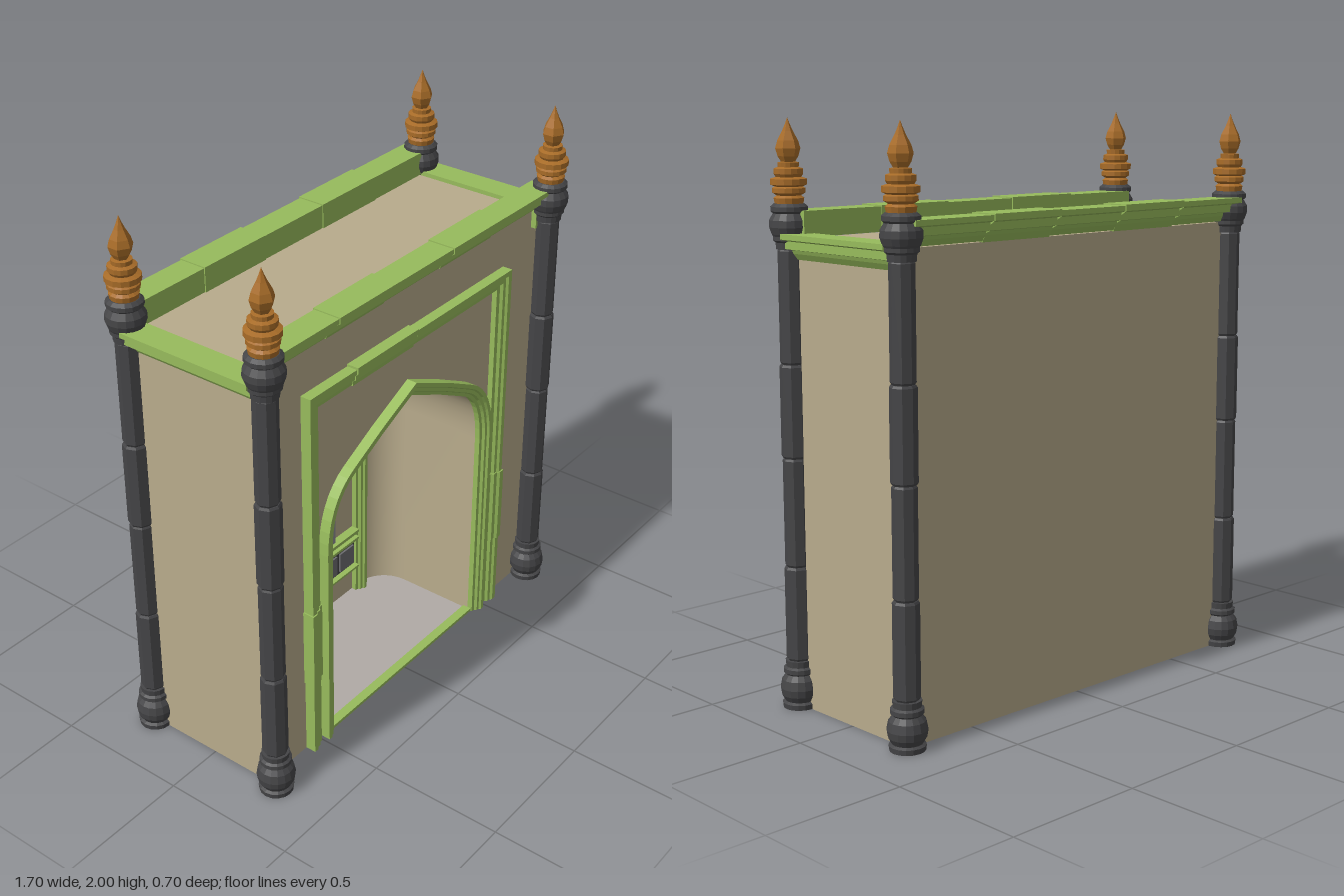
import * as THREE from 'three';

const mat = (name, color, side = THREE.FrontSide) => {
  const m = new THREE.MeshStandardMaterial({ color, side });
  m.name = name;
  return m;
};
const stone = mat('sandstone', 0xb8ab8c, THREE.DoubleSide);
const green = mat('green glazed trim', 0x97bb5c);
const charcoal = mat('charcoal', 0x454547);
const bronze = mat('bronze', 0xa86c28);
const tileGrey = mat('tile grey', 0x6c6c6f);
const frameGrey = mat('window grey', 0x8c8c92);
const floorGrey = mat('floor grey', 0xb0aaa6, THREE.DoubleSide);

const X = 0.78, TOP = 1.61, FRONT = 0.24, BACK = -0.28, NICHE = -0.2;

function add(parent, name, geo, material, x = 0, y = 0, z = 0) {
  const m = new THREE.Mesh(geo, material);
  m.name = name;
  m.position.set(x, y, z);
  parent.add(m);
  return m;
}
const box = (p, name, m, x0, x1, y0, y1, z0, z1) =>
  add(p, name, new THREE.BoxGeometry(x1 - x0, y1 - y0, z1 - z0), m, (x0 + x1) / 2, (y0 + y1) / 2, (z0 + z1) / 2);

function facet(geo) {
  const g = geo.index ? geo.toNonIndexed() : geo;
  g.computeVertexNormals();
  return g;
}
const V = (x, y) => new THREE.Vector2(x, y);

// Sweeps a moulding profile [outward, height] along a flat path with mitred corners
function sweep(path, profile) {
  const normal = (a, b) => V(b.y - a.y, a.x - b.x).normalize();
  const n = profile.length, pos = [], idx = [];
  path.forEach((p, i) => {
    const a = normal(path[Math.max(i - 1, 0)], path[Math.max(i, 1)]);
    const last = path.length - 1;
    const b = normal(path[Math.min(i, last - 1)], path[Math.min(i + 1, last)]);
    const m = a.clone().add(b).normalize();
    m.divideScalar(m.dot(a));
    for (const [o, h] of profile) pos.push(p.x + m.x * o, p.y + m.y * o, h);
  });
  for (let i = 0; i < path.length - 1; i++)
    for (let j = 0; j < n; j++) {
      const k = (j + 1) % n, r = i * n, s = r + n;
      idx.push(r + j, r + k, s + j, r + k, s + k, s + j);
    }
  const e = (path.length - 1) * n;
  for (let j = 1; j < n - 1; j++) idx.push(0, j + 1, j, e, e + j, e + j + 1);
  const g = new THREE.BufferGeometry();
  g.setAttribute('position', new THREE.Float32BufferAttribute(pos, 3));
  g.setIndex(idx);
  return facet(g);
}

// Pointed arch outline from the +x foot over the apex to the -x foot
function archPath() {
  const curve = new THREE.CubicBezierCurve(V(0.435, 0.8), V(0.435, 0.92), V(0.395, 1.0), V(0.323, 1.037));
  const half = [V(0.435, 0), ...curve.getPoints(8), V(0.17, 1.117)];
  return [...half, V(0, 1.196), ...half.slice().reverse().map(p => V(-p.x, p.y))];
}

// Depth and inset steps of the niche, with a rounded rear corner
const R = 0.13;
const steps = [[FRONT, 0]];
for (let i = 0; i <= 8; i++) {
  const a = (i / 8) * Math.PI / 2;
  steps.push([NICHE + R - R * Math.sin(a), R * (1 - Math.cos(a))]);
}
const inset = (p, d) => V(p.x * (1 - d / 0.435), p.y * (1 - d / 1.196));

function buildBody(g) {
  const arch = archPath();
  const front = new THREE.Shape([V(X, 0), V(X, TOP), V(-X, TOP), V(-X, 0), ...arch.slice().reverse()]);
  add(g, 'frontWall', new THREE.ShapeGeometry(front), stone, 0, 0, FRONT);
  add(g, 'backWall', new THREE.PlaneGeometry(2 * X, TOP), stone, 0, TOP / 2, BACK).rotation.y = Math.PI;
  const depth = FRONT - BACK, mid = (FRONT + BACK) / 2;
  for (const s of [1, -1])
    add(g, 'sideWall', new THREE.PlaneGeometry(depth, TOP), stone, s * X, TOP / 2, mid).rotation.y = s * Math.PI / 2;
  add(g, 'roof', new THREE.PlaneGeometry(2 * X, depth), stone, 0, TOP, mid).rotation.x = -Math.PI / 2;

  // Hollow niche lining
  const pos = [], idx = [], n = arch.length;
  for (const [z, d] of steps) for (const p of arch) { const q = inset(p, d); pos.push(q.x, q.y, z); }
  for (let i = 0; i < steps.length - 1; i++)
    for (let j = 0; j < n - 1; j++) {
      const a = i * n + j, b = a + n;
      idx.push(a, a + 1, b, a + 1, b + 1, b);
    }
  const lining = new THREE.BufferGeometry();
  lining.setAttribute('position', new THREE.Float32BufferAttribute(pos, 3));
  lining.setIndex(idx);
  lining.computeVertexNormals();
  add(g, 'nicheLining', lining, stone);
  add(g, 'nicheBack', new THREE.ShapeGeometry(new THREE.Shape(arch.map(p => inset(p, R)))), stone, 0, 0, NICHE);
  const side = steps.map(([z, d]) => V(0.435 - d, -z));
  const plan = new THREE.Shape([...side, ...side.slice().reverse().map(p => V(-p.x, p.y))]);
  add(g, 'nicheFloor', new THREE.ShapeGeometry(plan), floorGrey, 0, 0.004, 0).rotation.x = -Math.PI / 2;
}

// Stepped moulding profile of a given width and height
const moulding = (w, h) => [[0, 0], [0, h * 0.5], [w * 0.25, h * 0.55], [w * 0.35, h * 0.8],
  [w * 0.6, h * 0.8], [w * 0.7, h], [w, h], [w, 0]];
const frame = (x, y) => [V(x, 0), V(x, y), V(-x, y), V(-x, 0)];

function buildFrames(g) {
  add(g, 'archMoulding', sweep(archPath(), moulding(0.05, 0.04)), green, 0, 0, FRONT);
  add(g, 'outerFrame', sweep(frame(0.505, 1.39), moulding(0.062, 0.04)), green, 0, 0, FRONT);
  // Slightly proud blocks of the outer frame
  const proud = moulding(0.074, 0.045);
  add(g, 'outerFrameBlock', sweep([V(0.498, 0.3), V(0.498, 0.605)], proud), green, 0, 0, FRONT);
  add(g, 'outerFrameBlock', sweep([V(-0.498, 0.605), V(-0.498, 0.3)], proud), green, 0, 0, FRONT);
  add(g, 'outerFrameBlock', sweep([V(0, 1.386), V(-0.33, 1.386)], proud), green, 0, 0, FRONT);
  box(g, 'threshold', green, -0.435, 0.435, 0, 0.012, FRONT - 0.02, FRONT + 0.015);
}

// Cornice run along local x, facing local +z, with alternating proud blocks
function cornice(g, name, cuts, y, z, angle) {
  const run = new THREE.Group();
  run.name = name;
  cuts.slice(1).forEach((x1, i) => {
    const e = i % 2 ? 0.004 : 0;
    const profile = [[0, -0.032 - e], [-e, 0.012], [0.02, 0.025], [0.032, 0.03], [0.036, 0.05],
      [0.062, 0.05], [0.068, 0.068 + e], [0.086 + e, 0.068 + e], [0.086 + e, -0.032 - e]];
    add(run, name + 'Block', sweep([V(x1, 0), V(cuts[i], 0)], profile), green, 0, y, z);
  });
  run.rotation.y = angle;
  g.add(run);
}

function buildPanel(g) {
  const p = new THREE.Group();
  p.name = 'nichePanel';
  p.position.z = NICHE;
  g.add(p);
  add(p, 'panelFrame', sweep(frame(0.26, 0.873), moulding(0.046, 0.04)), green);
  add(p, 'panelFrameBlock', sweep([V(0.13, 0.87), V(-0.13, 0.87)], moulding(0.054, 0.045)), green);
  for (const [y, h] of [[0.73, 0.037], [0.243, 0.03], [0.273, 0.034], [0.11, 0.027]])
    add(p, 'panelRail', sweep([V(0.262, y), V(-0.262, y)], moulding(h, 0.035)), green);
  // Two rows of square tiles
  for (const [y0, y1] of [[0.767, 0.873], [0.137, 0.243]]) {
    box(p, 'tileBacking', charcoal, -0.26, 0.26, y0, y1, 0, 0.012);
    for (let i = -2; i <= 2; i++) {
      const c = i * 0.103, m = (y0 + y1) / 2;
      box(p, 'tile', tileGrey, c - 0.042, c + 0.042, m - 0.042, m + 0.042, 0.012, 0.02);
    }
  }
  // Pointed window
  const outline = d => {
    const w = 0.12 - d;
    const s = new THREE.Shape().moveTo(-w, 0.32 + d).lineTo(w, 0.32 + d).lineTo(w, 0.625 - d * 0.2);
    s.quadraticCurveTo(w * 0.85, 0.67 - d * 0.8, 0, 0.705 - d);
    s.quadraticCurveTo(-w * 0.85, 0.67 - d * 0.8, -w, 0.625 - d * 0.2);
    return s;
  };
  const surround = outline(0);
  surround.holes.push(outline(0.028));
  add(p, 'windowSurround', new THREE.ExtrudeGeometry(surround, { depth: 0.03, bevelEnabled: false, curveSegments: 6 }), frameGrey);
  add(p, 'windowPane', new THREE.ShapeGeometry(outline(0.027), 6), charcoal, 0, 0, 0.006);
  for (const x of [-0.032, 0.032]) box(p, 'windowBar', charcoal, x - 0.006, x + 0.006, 0.348, 0.65, 0.006, 0.016);
  for (const y of [0.41, 0.48, 0.55, 0.62]) box(p, 'windowBar', charcoal, -0.09, 0.09, y - 0.006, y + 0.006, 0.006, 0.015);
}

function buildColumn(g, x, z) {
  const c = new THREE.Group();
  c.name = 'cornerColumn';
  c.position.set(x, 0, z);
  g.add(c);
  const turn = (name, pts, sides, m) =>
    add(c, name, facet(new THREE.LatheGeometry(pts.map(([r, y]) => V(r, y)), sides)), m);
  turn('columnBase', [[0, 0], [0.06, 0], [0.062, 0.018], [0.052, 0.024], [0.064, 0.045], [0.068, 0.07], [0.062, 0.1],
    [0.048, 0.118], [0.056, 0.125], [0.056, 0.14], [0.047, 0.146], [0.049, 0.168], [0, 0.17]], 16, charcoal);
  // Octagonal shaft drums
  const joints = [0.168, 0.497, 0.872, 1.19, 1.575];
  joints.slice(1).forEach((y1, i) => {
    const y0 = joints[i], r = i % 2 ? 0.042 : 0.045;
    turn('shaftDrum', [[0, y0], [r - 0.005, y0], [r, y0 + 0.008], [r, y1 - 0.008], [r - 0.005, y1], [0, y1]], 8, charcoal);
  });
  turn('capital', [[0, 1.57], [0.046, 1.572], [0.048, 1.595], [0.056, 1.602], [0.056, 1.615], [0.06, 1.622], [0.068, 1.645],
    [0.067, 1.668], [0.054, 1.69], [0.062, 1.697], [0.062, 1.712], [0.05, 1.722], [0, 1.722]], 16, charcoal);
  turn('finialRings', [[0.046, 1.718], [0.05, 1.74], [0.04, 1.748], [0.054, 1.757], [0.054, 1.772], [0.046, 1.777],
    [0.06, 1.783], [0.06, 1.802], [0.042, 1.808], [0.048, 1.818], [0.048, 1.835], [0.034, 1.84], [0.035, 1.855], [0, 1.86]], 14, bronze);
  turn('finialBud', [[0.022, 1.855], [0.034, 1.875], [0.041, 1.9], [0.034, 1.925], [0.018, 1.955], [0.008, 1.978], [0, 2]], 6, bronze);
}

export function createModel() {
  const g = new THREE.Group();
  g.name = 'archedGateway';
  buildBody(g);
  buildFrames(g);
  buildPanel(g);
  const cuts = [-X, -0.455, -0.155, 0.155, 0.455, X];
  cornice(g, 'frontCornice', cuts, TOP + 0.004, FRONT, 0);
  cornice(g, 'backCornice', cuts, TOP + 0.004, -BACK, Math.PI);
  for (const s of [1, -1]) cornice(g, 'sideCornice', [-0.26, 0.26], 1.54, 0.772, s * Math.PI / 2);
  for (const x of [-0.783, 0.783]) for (const z of [-0.283, 0.283]) buildColumn(g, x, z);
  return g;
}
